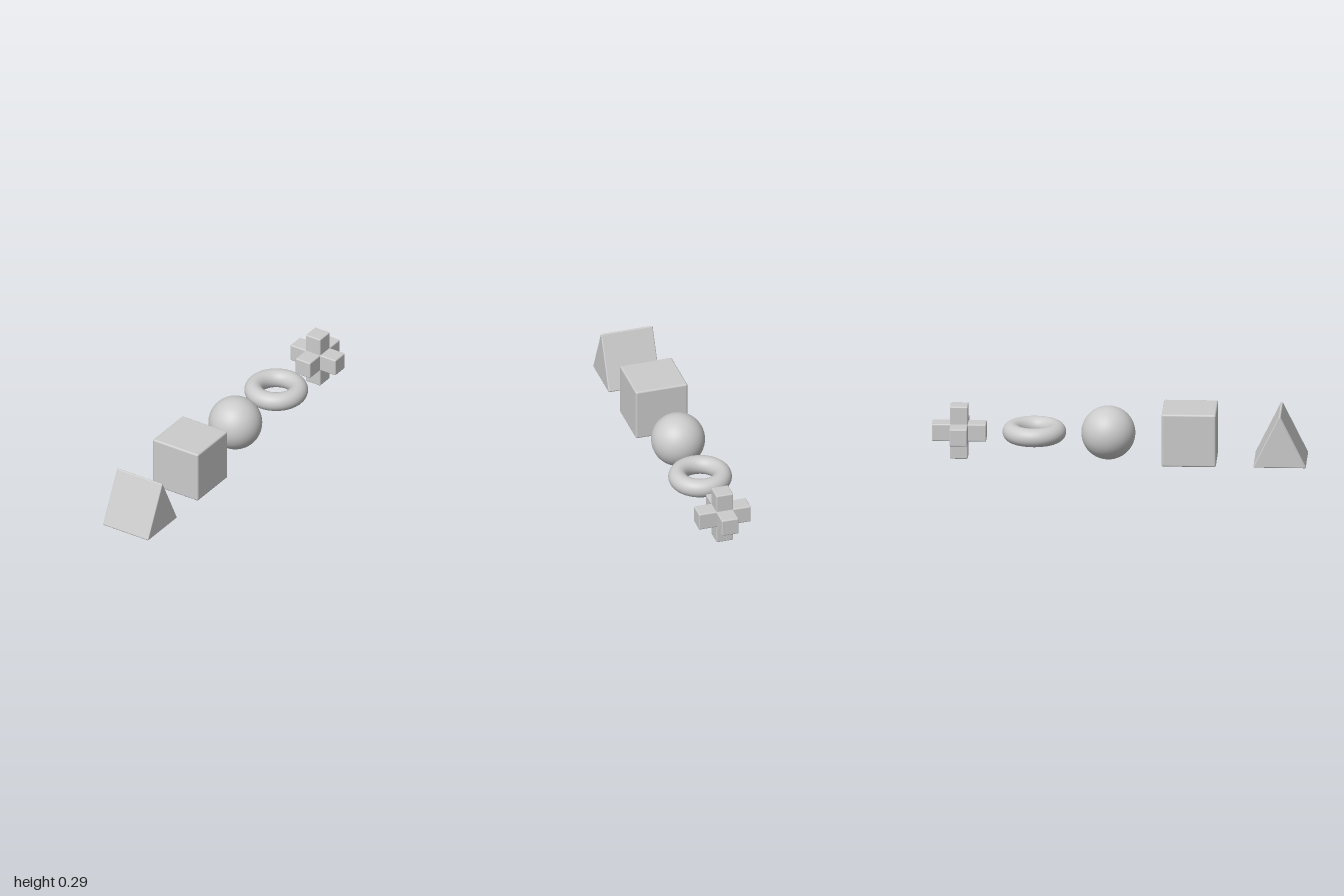
import * as THREE from 'three';
import { RoundedBoxGeometry } from 'three/addons/geometries/RoundedBoxGeometry.js';
import { ConvexGeometry } from 'three/addons/geometries/ConvexGeometry.js';

const SIZE = 0.29, MID = SIZE / 2;

// Convex solid with rounded edges: the hull of small balls set at its corners
function roundedHull(corners, r) {
  const ball = new THREE.SphereGeometry(r, 12, 8).attributes.position;
  const points = [];
  for (const c of corners) {
    for (let i = 0; i < ball.count; i++) {
      points.push(new THREE.Vector3().fromBufferAttribute(ball, i).add(c));
    }
  }
  const geo = new ConvexGeometry(points);
  const { position, normal } = geo.attributes;
  const p = new THREE.Vector3();
  // Smooth normals point away from the nearest ball centre
  for (let i = 0; i < position.count; i++) {
    p.fromBufferAttribute(position, i);
    const near = corners.reduce((a, b) => (p.distanceTo(b) < p.distanceTo(a) ? b : a));
    p.sub(near).normalize();
    normal.setXYZ(i, p.x, p.y, p.z);
  }
  return geo;
}

export function createModel() {
  const group = new THREE.Group();
  const material = new THREE.MeshStandardMaterial({ color: 0xcccccc });
  const add = (name, geometry, z, y = MID) => {
    const mesh = new THREE.Mesh(geometry, material);
    mesh.name = name;
    mesh.position.set(0, y, z);
    group.add(mesh);
    return mesh;
  };

  // Triangular prism lying along x
  const corners = [];
  for (const x of [-0.138, 0.138]) {
    for (const [y, z] of [[0.008, -0.133], [0.008, 0.133], [0.278, 0]]) {
      corners.push(new THREE.Vector3(x, y, z));
    }
  }
  add('prism', roundedHull(corners, 0.007), 0.86, 0);

  // Cube
  add('cube', new RoundedBoxGeometry(SIZE, SIZE, SIZE, 4, 0.01), 0.375);

  // Ball
  add('sphere', new THREE.SphereGeometry(0.144, 64, 40), -0.06);

  // Ring lying flat
  add('ring', new THREE.TorusGeometry(0.12, 0.05, 32, 80).rotateX(Math.PI / 2), -0.455);

  // Six-armed cross: one bar along each axis
  const bar = 0.095;
  ['x', 'y', 'z'].forEach((axis, i) => {
    const dims = [bar, bar, bar];
    dims[i] = SIZE;
    add(`crossBar_${axis}`, new RoundedBoxGeometry(...dims, 4, 0.007), -0.855);
  });

  return group;
}
